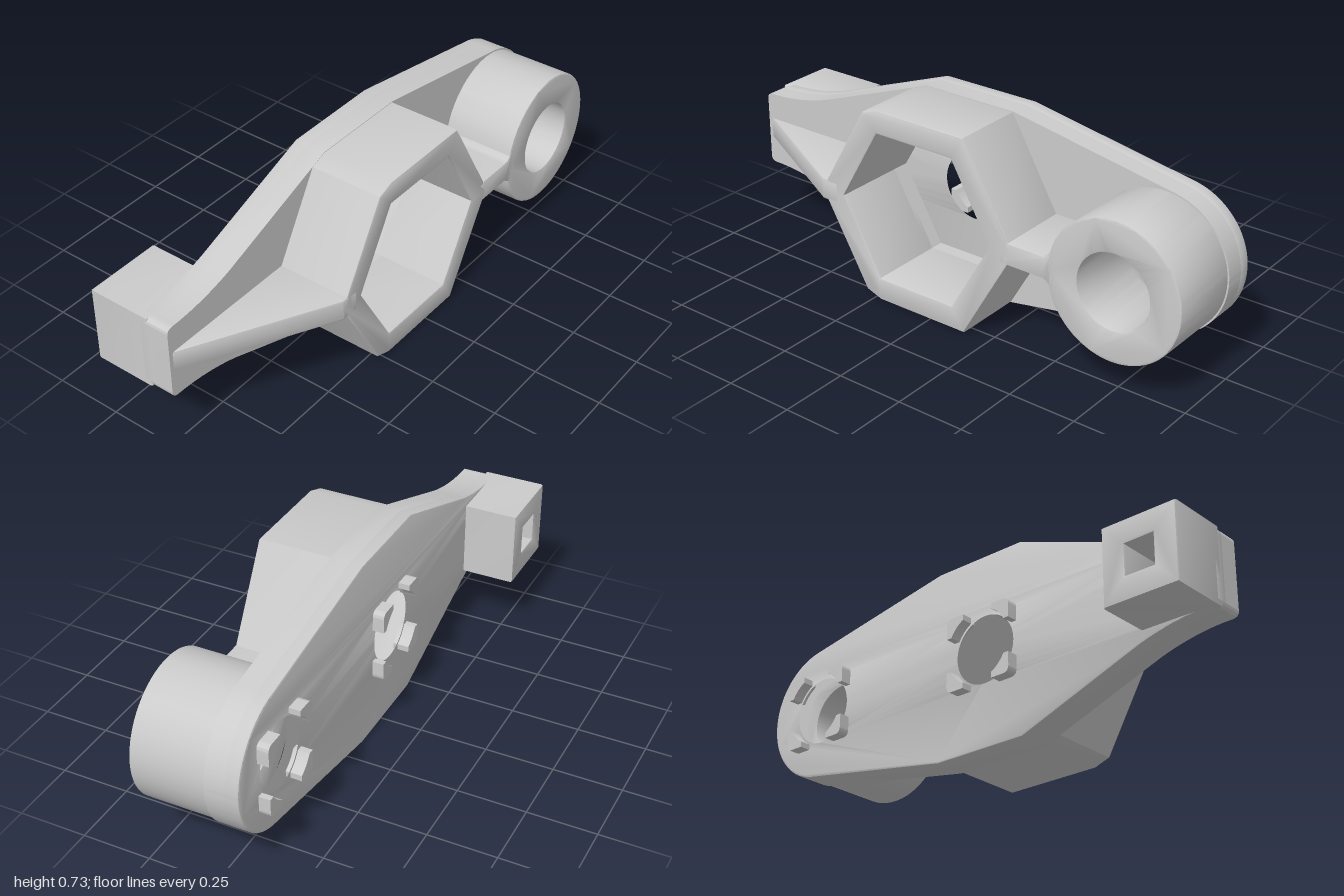
import * as THREE from 'three';
import { toCreasedNormals } from 'three/addons/utils/BufferGeometryUtils.js';

const HUB_X = -0.06, EYE_X = 0.743, HOLE_R = 0.135;
const FRONT = 0.297, BACK = -0.097, STEP = 0.025, FLOOR = -0.04;

const circle = (x, r) => new THREE.Path().absarc(x, 0, r, 0, Math.PI * 2, true);
const poly = pts => new THREE.Shape(pts.map(p => new THREE.Vector2(p[0], p[1])));

function hexPoints(r) {
  const pts = [];
  for (let i = 0; i < 6; i++) pts.push([HUB_X + r * Math.cos(i * Math.PI / 3), r * Math.sin(i * Math.PI / 3)]);
  return pts;
}

// Extrude a shape between two z levels, with edges optionally eased
function slab(shape, z0, z1, bevel = 0) {
  const g = new THREE.ExtrudeGeometry(shape, {
    depth: z1 - z0 - 2 * bevel, curveSegments: 40,
    bevelEnabled: bevel > 0, bevelThickness: bevel, bevelSize: bevel, bevelOffset: -bevel, bevelSegments: 2
  });
  g.translate(0, 0, z0 + bevel);
  return toCreasedNormals(g, 0.6);
}

// Lever outline: narrow left end, wide middle, round right end
function outline() {
  const s = new THREE.Shape();
  s.moveTo(-1, -0.12);
  s.lineTo(-1, 0.12);
  s.quadraticCurveTo(-1, 0.14, -0.975, 0.141);
  s.quadraticCurveTo(-0.84, 0.141, -0.7, 0.187);
  s.lineTo(-0.22, 0.364);
  s.lineTo(0.155, 0.364);
  s.absarc(EYE_X, 0, 0.257, 1.4, -1.4, true);
  s.lineTo(0.155, -0.364);
  s.lineTo(-0.22, -0.364);
  s.lineTo(-0.7, -0.187);
  s.quadraticCurveTo(-0.84, -0.141, -0.975, -0.141);
  s.quadraticCurveTo(-1, -0.14, -1, -0.12);
  return s;
}

export function createModel() {
  const model = new THREE.Group();
  model.name = 'leverArm';
  const mat = new THREE.MeshStandardMaterial({ color: 0xcccccc });
  const body = new THREE.Group();
  body.name = 'body';
  body.position.y = 0.365;
  model.add(body);
  const add = (name, geo) => {
    const m = new THREE.Mesh(geo, mat);
    m.name = name;
    body.add(m);
    return m;
  };
  const hexHole = () => new THREE.Path(hexPoints(0.318).map(p => new THREE.Vector2(p[0], p[1])));

  // Back layer of the plate, with two round holes
  const back = outline();
  back.holes.push(circle(HUB_X, HOLE_R), circle(EYE_X, HOLE_R));
  add('plateBack', slab(back, BACK, FLOOR, 0.008));

  // Front layer, opened by the hexagonal socket
  const front = outline();
  front.holes.push(hexHole(), circle(EYE_X, HOLE_R));
  add('plateFront', slab(front, FLOOR - 0.008, STEP));

  // Hexagonal socket wall, its left corners trimmed to the outline
  const hub = poly([
    [0.357, 0], [0.15, 0.362], [-0.22, 0.362], [-0.283, 0.34],
    [-0.479, 0], [-0.283, -0.34], [-0.22, -0.362], [0.15, -0.362]
  ]);
  hub.holes.push(hexHole());
  add('hexSocket', slab(hub, 0, FRONT, 0.009));

  // Round eye boss
  const eye = new THREE.Shape().absarc(EYE_X, 0, 0.251, 0, Math.PI * 2, false);
  eye.holes.push(circle(EYE_X, HOLE_R));
  add('eyeBoss', slab(eye, 0, FRONT, 0.006));

  // Tapered rib on the narrow arm
  const wedge = slab(poly([[-0.985, 0], [-0.985, STEP], [-0.475, FRONT], [-0.41, FRONT], [-0.41, 0]]), -0.04, 0.04, 0.006);
  wedge.rotateX(Math.PI / 2);
  add('taperedRib', wedge);

  // Short rib between socket and eye, flaring into the eye
  const rib = new THREE.Shape();
  rib.moveTo(0.3, -0.04);
  rib.lineTo(0.47, -0.04);
  rib.quadraticCurveTo(0.5, -0.04, 0.52, -0.1);
  rib.lineTo(0.52, 0.1);
  rib.quadraticCurveTo(0.5, 0.04, 0.47, 0.04);
  rib.lineTo(0.3, 0.04);
  add('shortRib', slab(rib, 0, FRONT, 0.006));

  // End block with a square recess
  const block = poly([[-1, -0.141], [-0.718, -0.141], [-0.718, 0.141], [-1, 0.141]]);
  const h = 0.055, cx = -0.859;
  block.holes.push(new THREE.Path([[-h, -h], [-h, h], [h, h], [h, -h]].map(p => new THREE.Vector2(cx + p[0], p[1]))));
  add('endBlock', slab(block, -0.297, -0.06, 0.008));

  // Four corner lugs round each hole on the back
  const lug = new THREE.Shape();
  const a = 0.5;
  lug.moveTo(0.14, HOLE_R * Math.sin(a));
  lug.lineTo(0.14, 0.115);
  lug.quadraticCurveTo(0.14, 0.14, 0.115, 0.14);
  lug.lineTo(HOLE_R * Math.sin(a), 0.14);
  lug.absarc(0, 0, HOLE_R, Math.PI / 2 - a, a, true);
  const lugGeo = slab(lug, -0.139, -0.08);
  for (const x of [HUB_X, EYE_X]) {
    for (let i = 0; i < 4; i++) {
      const m = add('cornerLug', lugGeo);
      m.position.x = x;
      m.rotation.z = i * Math.PI / 2;
    }
  }
  return model;
}
